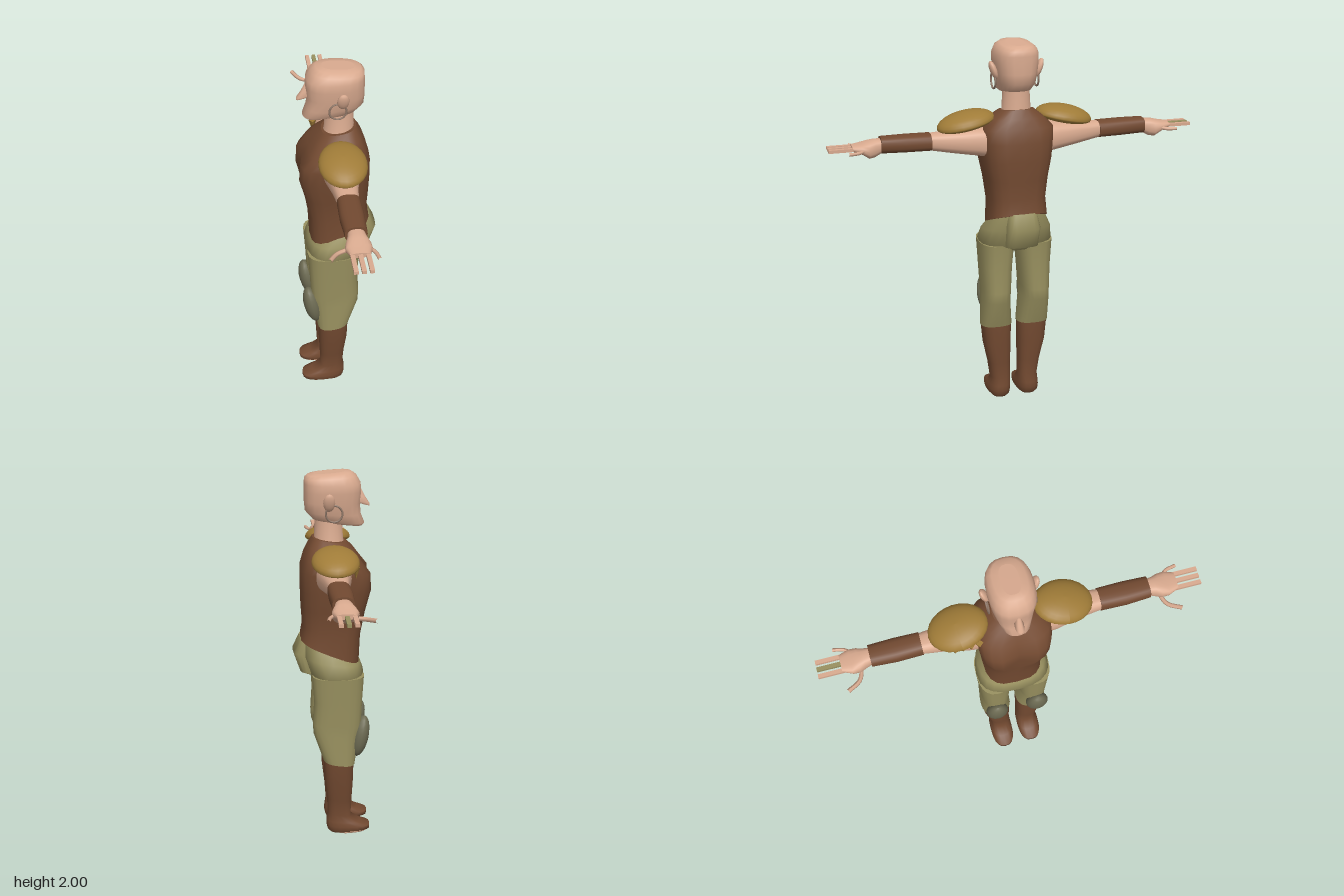
import * as THREE from 'three';

const SEG = 20;
const mat = (name, color) => {
  const m = new THREE.MeshStandardMaterial({ color });
  m.name = name;
  return m;
};

// Loft upward through rounded-box sections:
// [yAtMinX, yAtMaxX, minX, maxX, centreZ, halfZ, squareness]
function loft(sections, tweak) {
  const pos = [], idx = [];
  const ring = ([y0, y1, x0, x1, zc, hz, n = 2.6]) => {
    const pts = [];
    for (let j = 0; j < SEG; j++) {
      const t = (j / SEG) * Math.PI * 2, c = Math.cos(t), s = Math.sin(t);
      const u = Math.sign(c) * Math.abs(c) ** (2 / n);
      const w = Math.sign(s) * Math.abs(s) ** (2 / n);
      const p = new THREE.Vector3((x0 + x1) / 2 + (u * (x1 - x0)) / 2, y0 + ((y1 - y0) * (u + 1)) / 2, zc + w * hz);
      if (tweak) tweak(p);
      pts.push(p);
    }
    return pts;
  };
  const rings = sections.map(ring);
  rings.forEach((r) => r.forEach((p) => pos.push(p.x, p.y, p.z)));
  for (let i = 0; i < rings.length - 1; i++) {
    for (let j = 0; j < SEG; j++) {
      const k = (j + 1) % SEG, a = i * SEG + j, b = i * SEG + k;
      idx.push(a, a + SEG, b, b, a + SEG, b + SEG);
    }
  }
  // Flat end caps with their own vertices
  [[rings[0], false], [rings[rings.length - 1], true]].forEach(([r, top]) => {
    const base = pos.length / 3;
    const c = r.reduce((s, p) => s.add(p), new THREE.Vector3()).divideScalar(SEG);
    pos.push(c.x, c.y, c.z);
    r.forEach((p) => pos.push(p.x, p.y, p.z));
    for (let j = 0; j < SEG; j++) {
      const a = base + 1 + j, b = base + 1 + ((j + 1) % SEG);
      if (top) idx.push(base, b, a);
      else idx.push(base, a, b);
    }
  });
  const g = new THREE.BufferGeometry();
  g.setAttribute('position', new THREE.Float32BufferAttribute(pos, 3));
  g.setIndex(idx);
  g.computeVertexNormals();
  return g;
}

// Same loft laid along +z for arms: [z, minX, maxX, minY, maxY, squareness]
const armLoft = (rows) =>
  loft(rows.map(([z, x0, x1, y0, y1, n]) => [z, z, x0, x1, -(y0 + y1) / 2, (y1 - y0) / 2, n])).rotateX(Math.PI / 2);

// Mirror across the z = 0 plane, keeping faces outward
function mirrorZ(geo) {
  const g = geo.clone().scale(1, 1, -1);
  const a = g.index.array;
  for (let i = 0; i < a.length; i += 3) [a[i], a[i + 1]] = [a[i + 1], a[i]];
  g.computeVertexNormals();
  return g;
}

export function createModel() {
  const skin = mat('skin', 0xd9aa8f);
  const leather = mat('brown leather', 0x734a31);
  const cloth = mat('olive cloth', 0x98905f);
  const gold = mat('dull gold', 0xa07c38);
  const padGrey = mat('pad grey green', 0x6d6b53);
  const ringMetal = mat('earring metal', 0x8f7767);
  const model = new THREE.Group();

  const add = (name, geo, material) => {
    const m = new THREE.Mesh(geo, material);
    m.name = name;
    model.add(m);
    return m;
  };
  const pair = (name, geo, material) => {
    add(name + 'A', geo, material);
    add(name + 'B', mirrorZ(geo), material);
  };

  // Head and neck; the face looks along -x
  add('head', loft([
    [1.72, 1.75, -0.155, 0.07, 0, 0.06],
    [1.735, 1.76, -0.168, 0.1, 0, 0.078],
    [1.78, 1.8, -0.15, 0.135, 0, 0.095],
    [1.84, 1.85, -0.145, 0.14, 0, 0.105],
    [1.9, 1.9, -0.152, 0.14, 0, 0.112],
    [1.94, 1.94, -0.148, 0.14, 0, 0.112],
    [1.98, 1.965, -0.125, 0.138, 0, 0.1],
    [1.997, 1.98, -0.1, 0.122, 0, 0.078],
    [2.0, 1.988, -0.07, 0.09, 0, 0.045],
  ]), skin);
  add('neck', loft([
    [1.56, 1.58, -0.1, 0.1, 0, 0.1, 2],
    [1.65, 1.66, -0.06, 0.09, 0, 0.075, 2],
    [1.76, 1.78, -0.055, 0.085, 0, 0.068, 2],
  ]), skin);
  add('nose', loft([
    [1.818, 1.84, -0.196, -0.12, 0, 0.015],
    [1.83, 1.85, -0.195, -0.12, 0, 0.022],
    [1.865, 1.87, -0.172, -0.12, 0, 0.016],
    [1.91, 1.91, -0.15, -0.12, 0, 0.01],
  ]), skin);
  pair('ear', new THREE.SphereGeometry(1, 12, 8).scale(0.03, 0.05, 0.018).rotateX(0.35).translate(0.02, 1.86, 0.12), skin);
  pair('earring', new THREE.TorusGeometry(0.042, 0.005, 6, 24).translate(-0.005, 1.803, 0.114), ringMetal);

  // Sleeveless tunic with a slanted hem and a shallow cleft down the chest
  add('tunic', loft([
    [0.995, 1.125, -0.143, 0.168, 0, 0.155, 3],
    [1.15, 1.2, -0.15, 0.155, 0, 0.148, 3],
    [1.28, 1.3, -0.175, 0.162, 0, 0.162, 3],
    [1.4, 1.4, -0.204, 0.165, 0, 0.182, 3.2],
    [1.49, 1.5, -0.198, 0.165, 0, 0.19, 3.2],
    [1.55, 1.57, -0.15, 0.145, 0, 0.19, 3],
    [1.6, 1.62, -0.115, 0.125, 0, 0.145, 2.6],
    [1.64, 1.665, -0.075, 0.1, 0, 0.09, 2.4],
  ], (p) => {
    const cleft = Math.max(0, 1 - Math.abs(p.z) / 0.08) * Math.max(0, 1 - Math.abs(p.y - 1.42) / 0.17);
    if (p.x < -0.1) p.x += 0.04 * cleft;
  }), leather);

  // Trousers: hips, seat and two legs
  add('hips', loft([
    [0.9, 0.9, -0.13, 0.08, 0, 0.15],
    [0.94, 0.94, -0.168, 0.12, 0, 0.196],
    [0.99, 1.04, -0.15, 0.155, 0, 0.18],
    [1.01, 1.13, -0.135, 0.155, 0, 0.148],
  ]), cloth);
  add('seat', loft([
    [0.93, 0.93, 0, 0.13, 0, 0.08, 4],
    [0.94, 0.945, 0, 0.17, 0, 0.088, 4],
    [1.05, 1.05, 0, 0.206, 0, 0.092, 4],
    [1.1, 1.13, 0, 0.17, 0, 0.08, 4],
  ]), cloth);
  pair('trouserLeg', loft([
    [0.43, 0.455, -0.117, 0.053, 0.102, 0.084],
    [0.6, 0.61, -0.14, 0.104, 0.108, 0.074],
    [0.66, 0.67, -0.15, 0.108, 0.107, 0.076],
    [0.8, 0.8, -0.156, 0.1, 0.106, 0.084],
    [0.94, 0.94, -0.165, 0.11, 0.104, 0.094],
  ]), cloth);
  pair('kneePad', new THREE.SphereGeometry(1, 16, 12).scale(0.046, 0.118, 0.062).rotateZ(0.2).translate(-0.145, 0.588, 0.115), padGrey);

  // Boots with pointed toes along -x
  pair('boot', loft([
    [0.018, 0.005, -0.17, 0.012, 0.082, 0.05],
    [0.022, 0.022, -0.205, 0.028, 0.082, 0.062],
    [0.045, 0.05, -0.205, 0.034, 0.082, 0.064],
    [0.065, 0.08, -0.15, 0.034, 0.08, 0.06],
    [0.1, 0.13, -0.1, 0.026, 0.078, 0.054],
    [0.2, 0.22, -0.104, 0.032, 0.085, 0.06],
    [0.33, 0.34, -0.11, 0.046, 0.097, 0.075],
    [0.435, 0.455, -0.112, 0.05, 0.102, 0.08],
  ]), leather);
  add('worn sole', loft([
    [0.012, 0.0, -0.19, -0.02, -0.082, 0.05],
    [0.02, 0.009, -0.2, -0.02, -0.082, 0.055],
  ]), skin);

  // Arms held straight out along z
  pair('upperArm', armLoft([
    [0.14, -0.09, 0.09, 1.41, 1.575],
    [0.22, -0.085, 0.09, 1.425, 1.57],
    [0.34, -0.062, 0.065, 1.445, 1.558],
    [0.46, -0.05, 0.05, 1.468, 1.552],
  ]), skin);
  pair('bracer', armLoft([
    [0.45, -0.056, 0.056, 1.466, 1.555],
    [0.58, -0.06, 0.058, 1.468, 1.556],
    [0.705, -0.053, 0.053, 1.472, 1.555],
  ]), leather);
  pair('hand', armLoft([
    [0.69, -0.038, 0.038, 1.48, 1.545],
    [0.735, -0.048, 0.048, 1.455, 1.545],
    [0.765, -0.06, 0.06, 1.45, 1.54],
    [0.8, -0.064, 0.062, 1.475, 1.53],
    [0.85, -0.045, 0.045, 1.495, 1.522],
  ]), skin);
  const digit = (pts, r) => new THREE.TubeGeometry(
    new THREE.CatmullRomCurve3(pts.map((p) => new THREE.Vector3(...p))), 8, r, 6);
  pair('thumb', digit([[-0.03, 1.475, 0.755], [-0.095, 1.472, 0.78], [-0.14, 1.485, 0.845]], 0.011), skin);
  pair('littleFinger', digit([[0.045, 1.5, 0.79], [0.07, 1.497, 0.82], [0.083, 1.497, 0.875]], 0.009), skin);
  [-0.038, -0.002, 0.034].forEach((x, i) => {
    const g = new THREE.BoxGeometry(0.021, 0.016, 0.14).translate(x, 1.507, 0.898);
    add('finger' + i + 'A', g, skin);
    add('finger' + i + 'B', mirrorZ(g), i === 1 ? cloth : skin);
  });

  // Domed shoulder guards sloping outward
  const guard = new THREE.SphereGeometry(1, 24, 14);
  const gp = guard.attributes.position;
  for (let i = 0; i < gp.count; i++) gp.setY(i, gp.getY(i) * (gp.getY(i) > 0 ? 0.06 : 0.032));
  guard.scale(0.12, 1, 0.152).rotateX(0.2).translate(0, 1.594, 0.262);
  guard.computeVertexNormals();
  pair('shoulderGuard', guard, gold);

  // Ragged fringe under one shoulder guard
  for (let i = 0; i < 4; i++) {
    const g = new THREE.ConeGeometry(0.02, 0.06, 4).rotateX(Math.PI).translate(-0.098, 1.55, -0.18 - i * 0.04);
    add('fringe' + i, g, gold);
  }
  return model;
}
